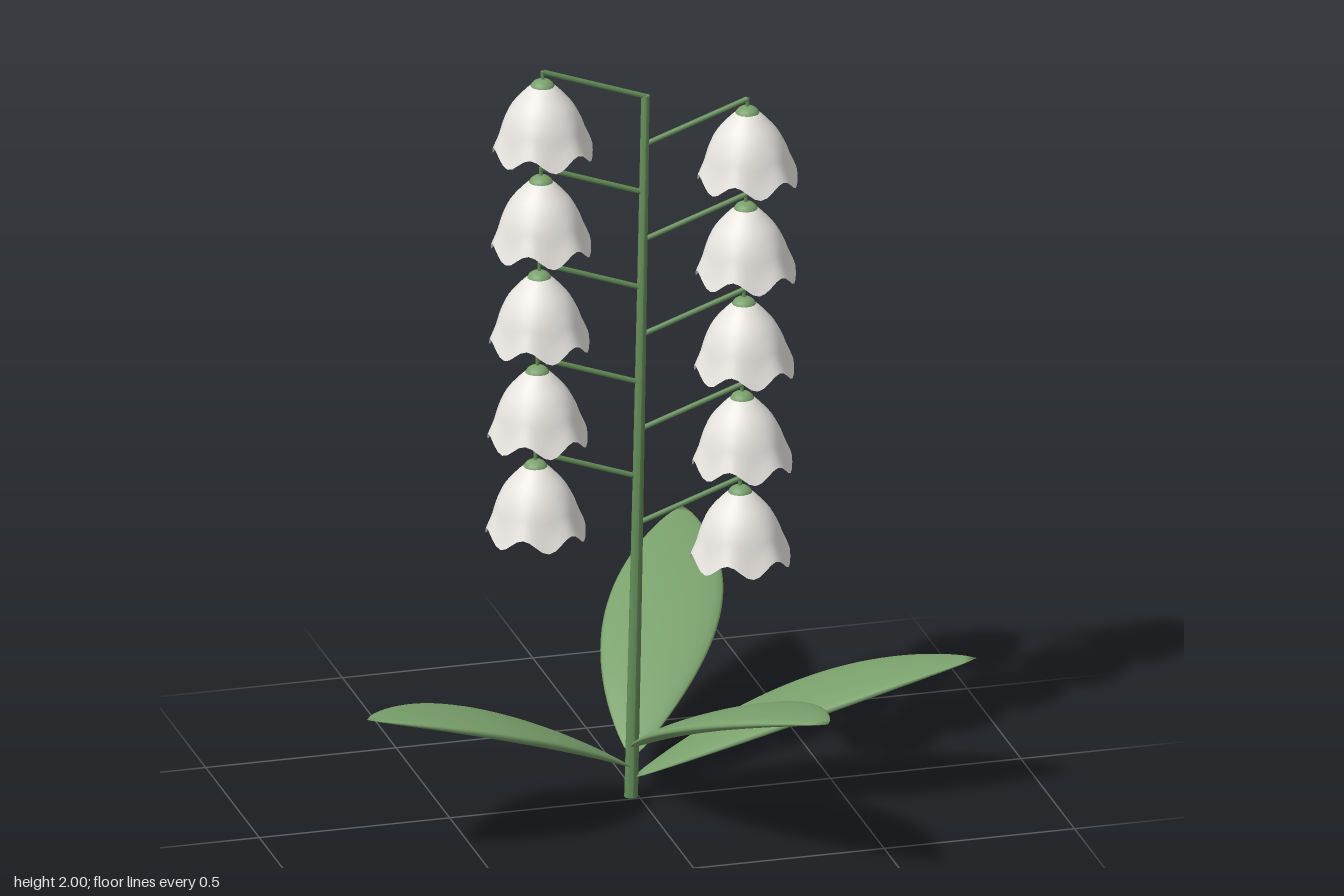
import * as THREE from 'three';
import { mergeVertices } from 'three/addons/utils/BufferGeometryUtils.js';

const material = (name, color, extra = {}) => {
  const m = new THREE.MeshStandardMaterial({ color, ...extra });
  m.name = name;
  return m;
};

// Gentle sway of the stem: its centre at height y
const stemAt = (y) => new THREE.Vector3(
  -0.018 + 0.0073 * y + 0.0067 * y * y, y, -0.02 + 0.056 * y - 0.03 * y * y);

// Moves every vertex of a geometry by a rule
function warp(geometry, rule) {
  const p = geometry.attributes.position;
  const v = new THREE.Vector3();
  for (let i = 0; i < p.count; i++) {
    v.fromBufferAttribute(p, i);
    rule(v);
    p.setXYZ(i, v.x, v.y, v.z);
  }
  geometry.computeVertexNormals();
  return geometry;
}

// Pointed, lens-shaped leaf running along +z and arching upward
function leafGeometry(length, bend) {
  let g = new THREE.SphereGeometry(1, 24, 28);
  g.deleteAttribute('uv');
  g.deleteAttribute('normal');
  g = mergeVertices(g, 1e-5);
  return warp(g, (v) => {
    const t = Math.acos(THREE.MathUtils.clamp(v.y, -1, 1)) / Math.PI;
    const s = Math.sin(Math.PI * t);
    const r = Math.hypot(v.x, v.z) || 1;
    const k = Math.pow(Math.max(s, 0), 0.78);
    v.set(
      0.147 * k * v.x / r + bend * s * t,
      0.345 * t + 0.19 * t * (1 - t) + 0.026 * k * v.z / r,
      length * t);
  });
}

// Hanging bell with a flared, six-lobed rim; its top hangs just below y = 0
function bellGeometry() {
  const profile = new THREE.SplineCurve([
    [0.004, -0.028], [0.028, -0.036], [0.052, -0.058], [0.079, -0.09],
    [0.099, -0.13], [0.111, -0.17], [0.127, -0.212],
  ].map(([x, y]) => new THREE.Vector2(x, y))).getPoints(16).reverse();
  const g = new THREE.LatheGeometry(profile, 48).rotateY(Math.PI / 2);
  return warp(g, (v) => {
    const k = THREE.MathUtils.smoothstep(-v.y, 0.1, 0.212);
    v.y += 0.018 * k * Math.cos(6 * Math.atan2(v.z, v.x));
  });
}

export function createModel() {
  const model = new THREE.Group();
  model.name = 'bellFlowerPlant';

  const stemGreen = material('stemGreen', 0x648d59);
  const leafGreen = material('leafGreen', 0x7aa16c);
  const petalWhite = material('petalWhite', 0xf4f1ec, { side: THREE.DoubleSide });
  const stamenGold = material('stamenGold', 0xd4a83a);

  const add = (parent, name, geometry, mat) => {
    const mesh = new THREE.Mesh(geometry, mat);
    mesh.name = name;
    parent.add(mesh);
    return mesh;
  };

  // Tapering stem
  const stem = new THREE.CylinderGeometry(0.011, 0.018, 1.9, 12, 24).translate(0, 0.95, 0);
  add(model, 'stem', warp(stem, (v) => {
    const c = stemAt(v.y);
    v.x += c.x;
    v.z += c.z;
  }), stemGreen);

  // Leaves: tip x, tip z, base height, sideways bend
  [
    [0.81, 0.265, 0.05, 0.012],
    [-0.81, 0.33, 0.08, 0],
    [0.34, -0.81, 0.105, -0.025],
    [0.265, 0.81, 0.135, 0.02],
  ].forEach(([x, z, y, bend]) => {
    const base = stemAt(y);
    const dx = x - base.x, dz = z - base.z;
    const leaf = add(model, 'leaf', leafGeometry(Math.hypot(dx, dz), bend), leafGreen);
    leaf.position.copy(base);
    leaf.rotation.y = Math.atan2(dx, dz);
  });

  // Flowers alternate left and right up the stem
  const bell = bellGeometry();
  const cap = new THREE.SphereGeometry(0.031, 16, 8, 0, Math.PI * 2, 0, Math.PI / 2).scale(1, 0.75, 1);
  const stub = new THREE.CylinderGeometry(0.005, 0.005, 0.04, 8);
  const stamen = new THREE.SphereGeometry(0.02, 14, 10);
  for (let i = 0; i < 10; i++) {
    const side = i % 2 ? -1 : 1;
    const start = stemAt(0.75 + i * 0.1275);
    const tip = start.clone().add(new THREE.Vector3(0.27 * side, 0.095, 0));
    add(model, 'flowerStalk',
      new THREE.TubeGeometry(new THREE.LineCurve3(start, tip), 1, 0.007, 8), stemGreen);

    const flower = new THREE.Group();
    flower.name = 'flower';
    flower.position.copy(tip);
    add(flower, 'bell', bell, petalWhite);
    add(flower, 'cap', cap, leafGreen).position.y = -0.042;
    add(flower, 'hangingStub', stub, stemGreen).position.y = -0.018;
    add(flower, 'stamen', stamen, stamenGold).position.y = -0.145;
    model.add(flower);
  }
  return model;
}
